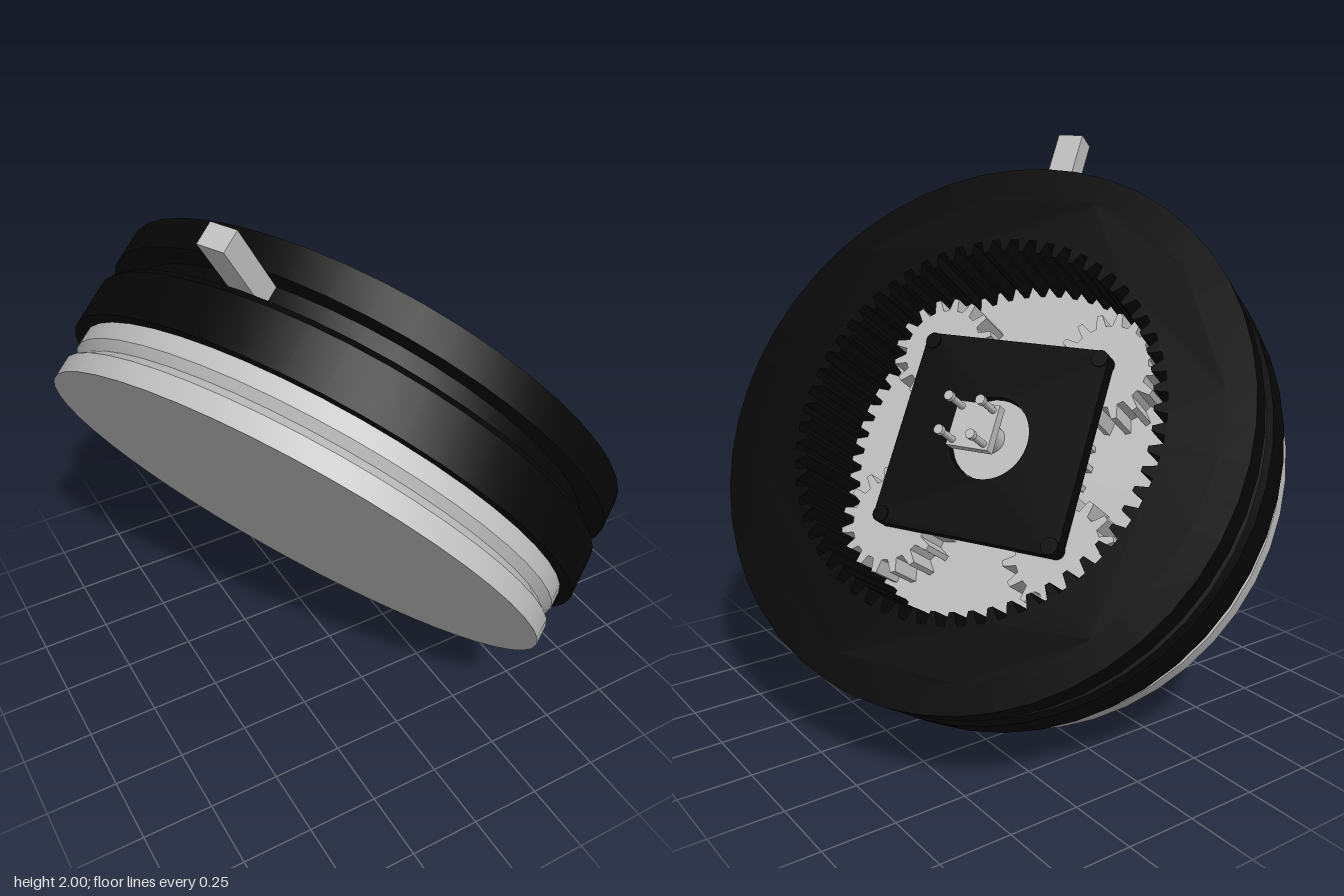
import * as THREE from 'three';
import { toCreasedNormals } from 'three/addons/utils/BufferGeometryUtils.js';

const black = new THREE.MeshStandardMaterial({ color: 0x060606 });
black.name = 'black plastic';
const gray = new THREE.MeshStandardMaterial({ color: 0xc0c0c0 });
gray.name = 'gray plastic';

export function createModel() {
  const model = new THREE.Group();
  // Tilted assembly: local +y is the gear axis, local +z points along the lever
  const body = new THREE.Group();
  body.name = 'planetaryGearbox';
  const axis = new THREE.Vector3(0.752, 0.55, -0.363).normalize();
  const up = new THREE.Vector3(0, 1, 0).addScaledVector(axis, -axis.y).normalize();
  const side = new THREE.Vector3().crossVectors(axis, up);
  body.quaternion.setFromRotationMatrix(new THREE.Matrix4().makeBasis(side, axis, up));
  body.position.set(-0.218, 0.78, 0.11);
  model.add(body);

  const add = (name, geo, mat, x = 0, y = 0, z = 0) => {
    const mesh = new THREE.Mesh(geo, mat);
    mesh.name = name;
    mesh.position.set(x, y, z);
    body.add(mesh);
  };
  const lathe = pts => toCreasedNormals(
    new THREE.LatheGeometry(pts.map(p => new THREE.Vector2(p[0], p[1])), 48), 0.4);
  // Extrusion standing along the axis
  const plate = (shape, depth, segs = 24) => new THREE.ExtrudeGeometry(shape,
    { depth, bevelEnabled: false, curveSegments: segs }).rotateX(-Math.PI / 2);
  const circle = r => new THREE.Path().absarc(0, 0, r, 0, Math.PI * 2, true);

  // Toothed outline: root and tip radii, trapezoid teeth
  const gearPoints = (teeth, root, tip) => {
    const pts = [];
    const step = (Math.PI * 2) / teeth;
    for (let i = 0; i < teeth; i++) {
      for (const [f, r] of [[-0.3, root], [-0.13, tip], [0.13, tip], [0.3, root]]) {
        const a = (i + f) * step;
        pts.push(new THREE.Vector2(Math.cos(a) * r, Math.sin(a) * r));
      }
    }
    return pts;
  };

  // Gray base with a V groove around its rim
  add('base', lathe([[0, 0], [0.93, 0], [0.93, 0.07], [0.895, 0.1], [0.92, 0.13],
    [0.92, 0.192], [0, 0.192]]), gray);

  // Black housing rim with a narrow groove that holds the lever
  add('housingRim', lathe([[0.86, 0.19], [0.962, 0.19], [0.962, 0.35], [0.945, 0.372],
    [0.87, 0.372], [0.87, 0.448], [0.958, 0.448], [0.958, 0.558], [0.86, 0.558]]), black);

  // Internal ring gear
  const ring = new THREE.Shape().absarc(0, 0, 0.86, 0, Math.PI * 2, false);
  ring.holes.push(new THREE.Path(gearPoints(60, 0.68, 0.635).reverse()));
  add('ringGear', plate(ring, 0.368, 24), black, 0, 0.19, 0);

  // Sun gear with a raised hub, and four planets
  const sun = new THREE.Shape(gearPoints(26, 0.26, 0.31));
  add('sunGear', plate(sun, 0.155), gray, 0, 0.19, 0);
  add('sunHub', new THREE.CylinderGeometry(0.147, 0.147, 0.1, 32), gray, 0, 0.335, 0);
  const planet = plate(new THREE.Shape(gearPoints(16, 0.15, 0.197)), 0.155);
  for (const x of [-0.33, 0.33]) {
    for (const z of [-0.33, 0.33]) {
      add('planetGear', planet, gray, x, 0.19, z);
      add('planetPin', new THREE.CylinderGeometry(0.03, 0.03, 0.2, 16), black, x, 0.315, z);
    }
  }

  // Square carrier with clipped corners and a round opening
  const h = 0.36, c = 0.025;
  const square = new THREE.Shape([[-h, c - h], [c - h, -h], [h - c, -h], [h, c - h],
    [h, h - c], [h - c, h], [c - h, h], [-h, h - c]].map(p => new THREE.Vector2(...p)));
  square.holes.push(circle(0.15));
  add('carrier', plate(square, 0.055, 32), black, 0, 0.353, 0);

  // Output shaft, square head and four headed pins
  add('shaft', new THREE.CylinderGeometry(0.05, 0.05, 0.15, 24), gray, 0, 0.43, 0);
  add('shaftHead', new THREE.BoxGeometry(0.16, 0.04, 0.16), gray, 0, 0.515, 0);
  for (const x of [-0.06, 0.06]) {
    for (const z of [-0.06, 0.06]) {
      add('outputPin', new THREE.CylinderGeometry(0.012, 0.012, 0.1, 12), gray, x, 0.58, z);
      add('pinHead', new THREE.CylinderGeometry(0.017, 0.017, 0.02, 12), gray, x, 0.63, z);
    }
  }

  // Lever standing out of the housing groove
  add('lever', new THREE.BoxGeometry(0.095, 0.076, 0.314), gray, 0, 0.41, 1.007);

  return model;
}
